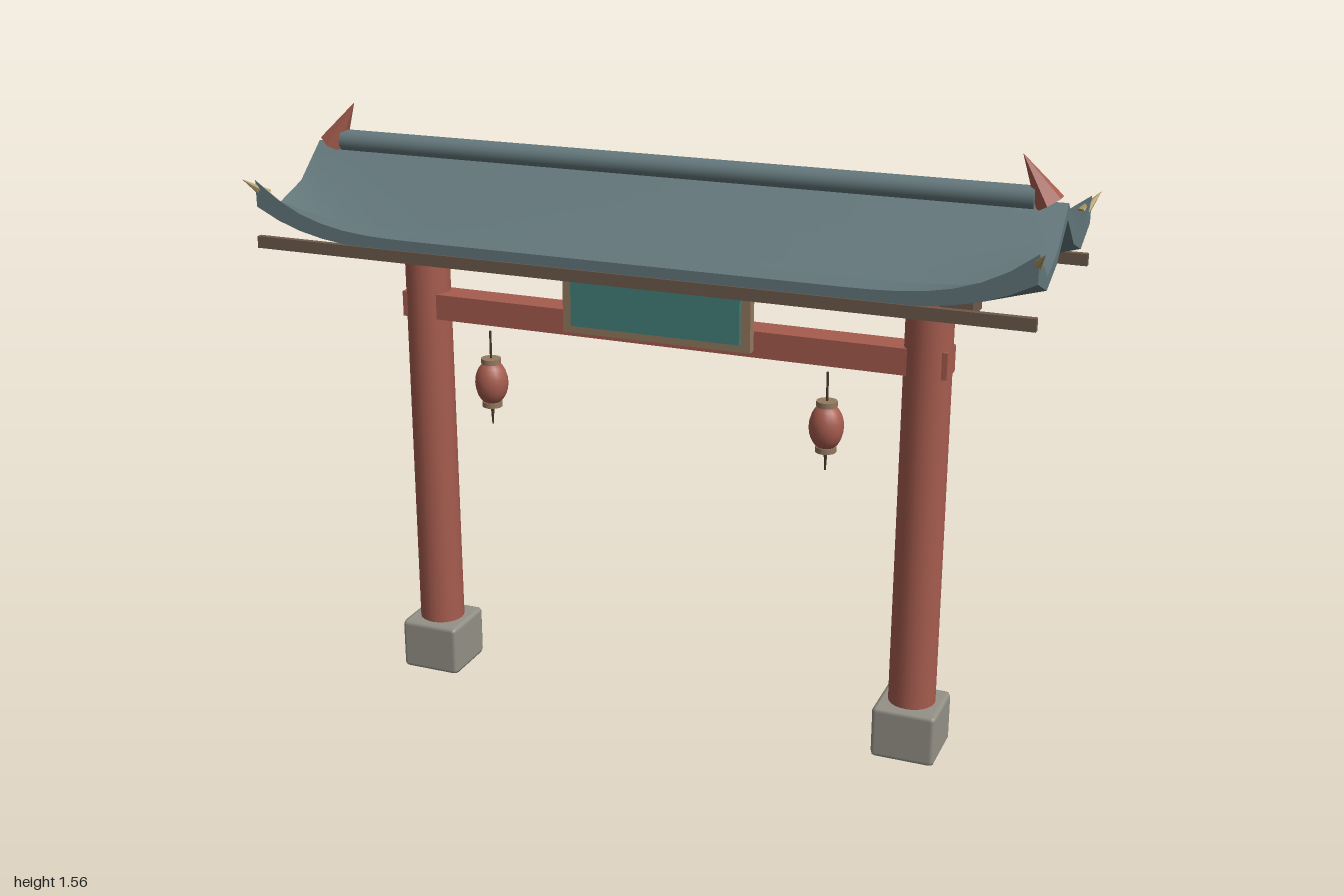
import * as THREE from 'three';
import { toCreasedNormals } from 'three/addons/utils/BufferGeometryUtils.js';
import { RoundedBoxGeometry } from 'three/addons/geometries/RoundedBoxGeometry.js';

const paint = (color, flatShading = false) => {
  const m = new THREE.MeshStandardMaterial({ color });
  m.flatShading = flatShading;
  return m;
};
const red = paint(0xa65c4e), redFlat = paint(0xa65c4e, true), wood = paint(0x6e5a4b);
const stone = paint(0x949187), slate = paint(0x64787c), tan = paint(0x94795f);
const teal = paint(0x44807b), gold = paint(0xae9a66, true), dark = paint(0x4a3c30);

function add(parent, name, geometry, material, x = 0, y = 0, z = 0) {
  const mesh = new THREE.Mesh(geometry, material);
  mesh.name = name;
  mesh.position.set(x, y, z);
  parent.add(mesh);
  return mesh;
}

// Box given by full width and depth and its lower and upper heights
const beam = (parent, name, w, y0, y1, d, material, z = 0) =>
  add(parent, name, new THREE.BoxGeometry(w, y1 - y0, d), material, 0, (y0 + y1) / 2, z);

// Cone running from a base centre to a tip
function spike(parent, name, base, tip, radius, sides, material) {
  const a = new THREE.Vector3(...base), dir = new THREE.Vector3(...tip).sub(a);
  const geometry = new THREE.ConeGeometry(radius, dir.length(), sides);
  geometry.translate(0, dir.length() / 2, 0);
  const mesh = add(parent, name, geometry, material, ...base);
  mesh.quaternion.setFromUnitVectors(new THREE.Vector3(0, 1, 0), dir.normalize());
}

// Curved roof: a gable section swept along x, eaves lifting towards the ends
function roofGeometry() {
  // z, top y, bottom y, top lift, bottom lift
  const half = [
    [0.305, 1.288, 1.257, 0.116, 0.08],
    [0.2, 1.283, 1.252, 0.045, 0.045],
    [0.1, 1.363, 1.332, 0, 0],
    [0, 1.45, 1.412, 0, 0],
  ];
  const section = [...half, ...half.slice(0, 3).reverse().map(([z, ...r]) => [-z, ...r])];
  const n = section.length, ring = 2 * n, steps = 32;
  const pos = [], index = [];
  for (let s = 0; s <= steps; s++) {
    const x = -0.98 + 1.96 * s / steps;
    const lift = Math.max(0, (Math.abs(x) - 0.5) / 0.48) ** 3.5;
    for (const [z, top, , up] of section) pos.push(x, top + up * lift, z);
    for (const [z, , bottom, , up] of [...section].reverse()) pos.push(x, bottom + up * lift, z);
  }
  for (let s = 0; s < steps; s++) {
    for (let j = 0; j < ring; j++) {
      const a = s * ring + j, b = s * ring + (j + 1) % ring;
      index.push(a, a + ring, b, b, a + ring, b + ring);
    }
  }
  // End caps
  const last = steps * ring;
  for (let i = 0; i < n - 1; i++) {
    const t = i, u = i + 1, c = ring - 1 - i, d = ring - 2 - i;
    index.push(t, u, c, u, d, c);
    index.push(last + t, last + c, last + u, last + u, last + c, last + d);
  }
  const geometry = new THREE.BufferGeometry();
  geometry.setAttribute('position', new THREE.Float32BufferAttribute(pos, 3));
  geometry.setIndex(index);
  return toCreasedNormals(geometry, 0.6);
}

function lantern(x) {
  const g = new THREE.Group();
  g.name = 'lantern';
  g.position.set(x, 0, 0.085);
  const body = add(g, 'lanternBody', new THREE.SphereGeometry(0.043, 16, 12), red, 0, 0.874, 0);
  body.scale.y = 1.4;
  for (const y of [0.932, 0.816]) {
    add(g, 'lanternCap', new THREE.CylinderGeometry(0.026, 0.026, 0.014, 14), tan, 0, y, 0);
  }
  add(g, 'lanternCord', new THREE.CylinderGeometry(0.003, 0.003, 0.075, 6), dark, 0, 0.974, 0);
  add(g, 'lanternTassel', new THREE.CylinderGeometry(0.005, 0.002, 0.05, 6), dark, 0, 0.786, 0);
  return g;
}

export function createModel() {
  const model = new THREE.Group();
  model.name = 'gate';

  // Pillars on chamfered stone bases
  for (const s of [-1, 1]) {
    add(model, 'base', new RoundedBoxGeometry(0.166, 0.14, 0.166, 1, 0.013), stone, s * 0.674, 0.07, 0);
    add(model, 'pillar', new THREE.CylinderGeometry(0.058, 0.06, 1.19, 24), red, s * 0.674, 0.725, 0);
  }

  // Cross beams and eave rails
  beam(model, 'lowerBeam', 1.46, 1.01, 1.077, 0.08, red);
  beam(model, 'upperBeam', 1.57, 1.17, 1.25, 0.096, wood);
  for (const s of [-1, 1]) beam(model, 'eaveRail', 1.966, 1.232, 1.262, 0.016, wood, s * 0.301);

  // Name board, left blank
  beam(model, 'boardFrame', 0.5, 1.03, 1.222, 0.026, tan, 0.062);
  beam(model, 'boardPanel', 0.45, 1.05, 1.2, 0.016, teal, 0.075);

  // Roof with ridge pole
  add(model, 'roof', roofGeometry(), slate);
  const ridge = add(model, 'ridgePole', new THREE.CylinderGeometry(0.029, 0.029, 1.81, 16), slate, 0, 1.455, 0);
  ridge.rotation.z = Math.PI / 2;

  // Ridge finials, corner tips and hanging lanterns
  for (const s of [-1, 1]) {
    spike(model, 'ridgeFinial', [s * 0.938, 1.445, 0], [s * 0.869, 1.556, 0], 0.036, 6, redFlat);
    for (const f of [-1, 1]) {
      spike(model, 'cornerTip', [s * 0.965, 1.365, f * 0.28], [s * 0.998, 1.411, f * 0.335], 0.016, 6, gold);
    }
    model.add(lantern(s * 0.452));
  }
  return model;
}
